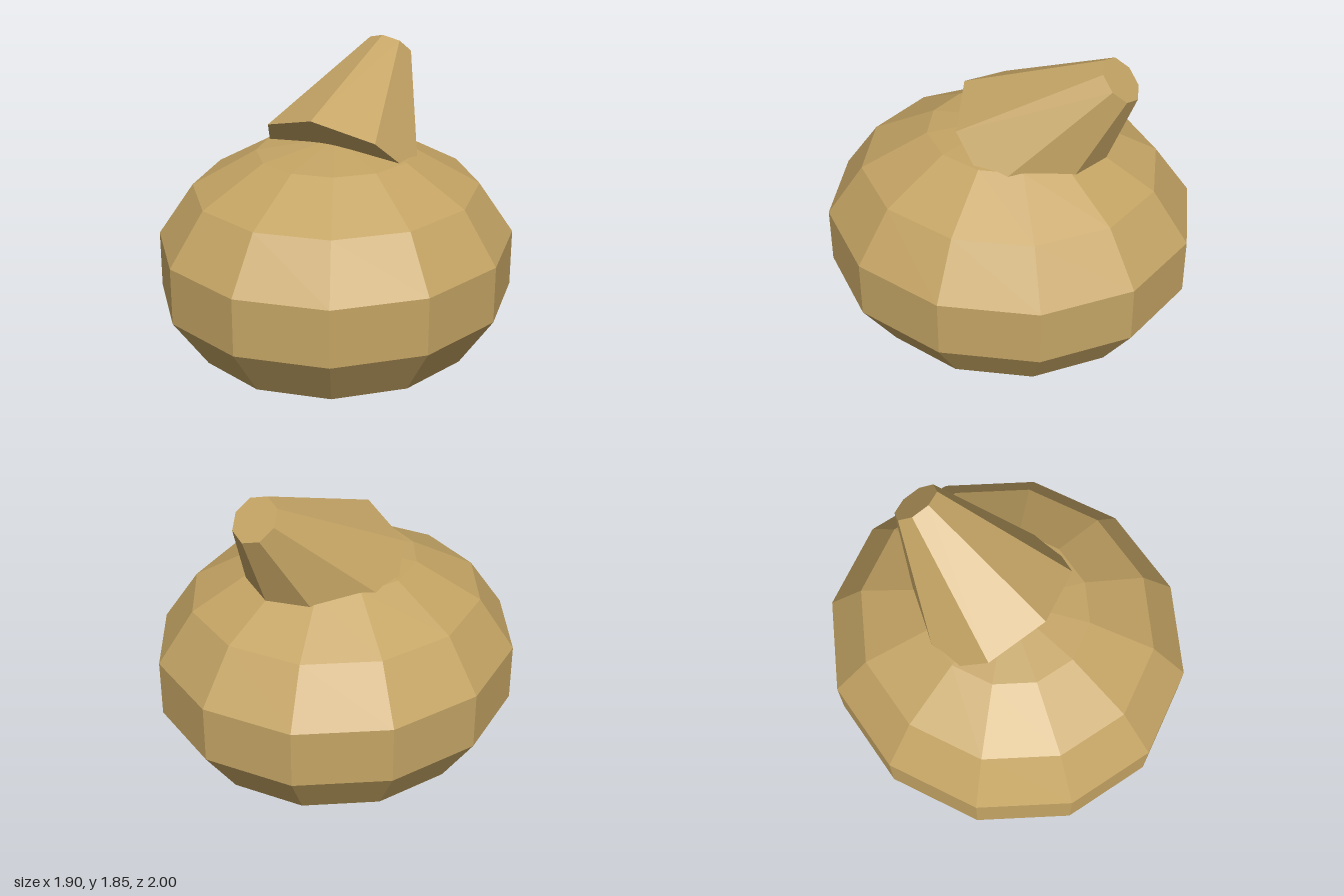
import * as THREE from 'three';

export function createModel() {
  const group = new THREE.Group();
  const material = new THREE.MeshStandardMaterial({ color: 0xc4a464, flatShading: true });

  const add = (name, geometry) => {
    const mesh = new THREE.Mesh(geometry, material);
    mesh.name = name;
    group.add(mesh);
    return mesh;
  };

  // Squashed low-poly body: 12 sides, 7 bands
  const body = add('body', new THREE.SphereGeometry(1, 12, 7));
  body.scale.set(0.975, 0.7, 1.0257);
  body.position.y = 0.703;

  // Eight-sided tapered stem leaning backwards, partly sunk into the body
  const stem = add('stem', new THREE.CylinderGeometry(0.13, 0.46, 0.742, 8));
  stem.rotation.x = -Math.PI / 4;
  stem.position.set(0, 1.497, -0.329);

  return group;
}
